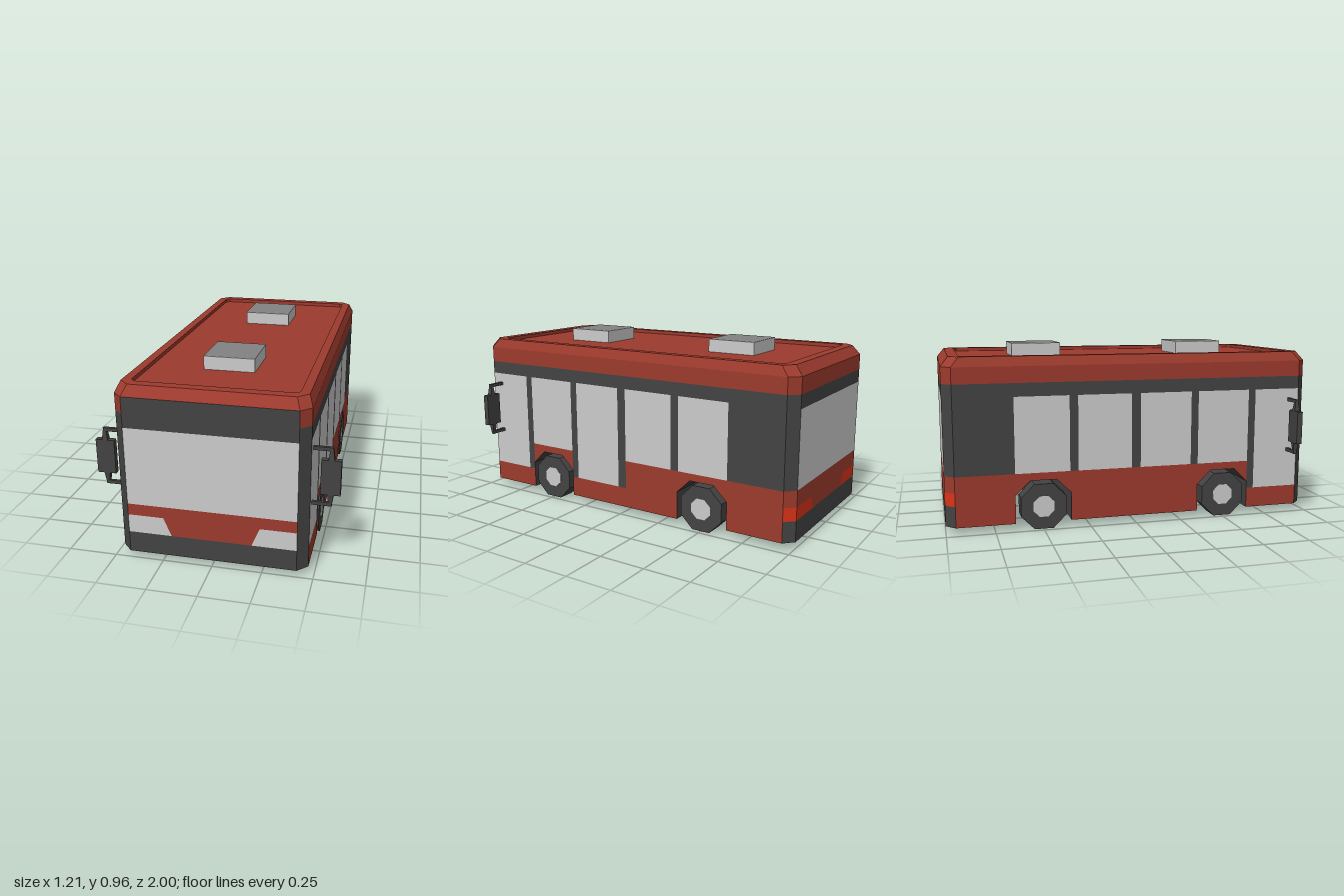
import * as THREE from 'three';

const mat = (color) => new THREE.MeshStandardMaterial({ color, flatShading: true, side: THREE.DoubleSide });
const GREY = mat(0xcccccc), RED = mat(0x9c3a2d), DARK = mat(0x434343), LAMP = mat(0xd93318), LID = mat(0x828282);

const HX = 0.47, HZ = 1, CUT = 0.05;            // half width, half length, corner chamfer
const FLOOR = 0.035, SILL = 0.145, BELT = 0.3, HEAD = 0.7, BAND = 0.77, EAVE = 0.855, TOP = 0.905;
const AXLES = [0.503, -0.497], ARCH = 0.147;

function add(parent, name, geometry, material) {
  const mesh = new THREE.Mesh(geometry, material);
  mesh.name = name;
  parent.add(mesh);
  return mesh;
}

// A flat wall lying in the xy plane of its group, filled with named polygons
function makeWall(name) {
  const wall = new THREE.Group();
  wall.name = name;
  const poly = (part, material, pts) =>
    add(wall, part, new THREE.ShapeGeometry(new THREE.Shape(pts.map(([x, y]) => new THREE.Vector2(x, y)))), material);
  const rect = (part, material, x0, x1, y0, y1) => poly(part, material, [[x0, y0], [x1, y0], [x1, y1], [x0, y1]]);
  return { wall, poly, rect };
}

// Wheel arch outline, from the front foot over the top to the rear foot
const archPoints = (z) => [
  [z + ARCH, FLOOR], [z + ARCH, 0.185], [z + 0.07, 0.26], [z - 0.07, 0.26], [z - ARCH, 0.185], [z - ARCH, FLOOR],
];

function makeSide(s) {
  const { wall, poly, rect } = makeWall(s > 0 ? 'leftWall' : 'rightWall');
  const zRect = (part, material, z0, z1, y0, y1) => rect(part, material, -s * z0, -s * z1, y0, y1);
  const end = HZ - CUT, [front, rear] = AXLES;
  const midDoor = s > 0;

  // Red lower panels and arch surrounds
  zRect('rearSkirt', RED, -end, rear - ARCH, FLOOR, BELT);
  zRect('frontSkirt', RED, front + ARCH, end, FLOOR, SILL);
  if (midDoor) {
    zRect('middleSkirt', RED, rear + ARCH, -0.02, FLOOR, BELT);
    zRect('doorSkirt', RED, -0.02, front - ARCH, FLOOR, SILL);
  } else zRect('middleSkirt', RED, rear + ARCH, front - ARCH, FLOOR, BELT);
  for (const z of AXLES) {
    const pts = [[z + ARCH, BELT], ...archPoints(z).slice(1, 5), [z - ARCH, BELT]];
    poly('archPanel', RED, pts.map(([a, y]) => [-s * a, y]));
  }

  // Windows and the pillars in front of each: [rear edge, front edge, next window, bottom]
  const low = midDoor ? SILL : BELT;
  const bays = [
    [-0.644, -0.355, -0.31, BELT, BELT],
    [-0.31, -0.02, 0.03, BELT, low],
    [0.03, 0.315, 0.356, low, low],
    [0.356, 0.65, 0.69, BELT, SILL],
    [0.69, end, end, SILL, SILL],
  ];
  bays[0][1] = -0.355;
  bays[1][0] = -0.31;
  for (const [a, b, c, y, pillarY] of bays) {
    zRect('window', GREY, a, b, y, HEAD);
    if (c > b) zRect('pillar', DARK, b, c, pillarY, HEAD);
  }
  zRect('rearQuarter', DARK, -end, -0.644, BELT, HEAD);
  zRect('windowHeader', DARK, -end, end, HEAD, BAND);
  zRect('roofSide', RED, -end, end, BAND, EAVE);
  wall.rotation.y = s * Math.PI / 2;
  wall.position.x = s * HX;
  return wall;
}

function makeEnd(s) {
  const { wall, poly, rect } = makeWall(s > 0 ? 'frontWall' : 'rearWall');
  const w = HX - CUT, lampTop = s > 0 ? 0.24 : 0.215;
  rect('bumper', DARK, -w, w, FLOOR, SILL);
  poly('grillePanel', RED, [[-0.2, SILL], [0.2, SILL], [0.24, lampTop], [-0.24, lampTop]]);
  rect('beltPanel', RED, -w, w, lampTop, BELT);
  for (const m of [-1, 1]) {
    poly(s > 0 ? 'headlight' : 'tailLight', s > 0 ? GREY : LAMP,
      [[m * w, SILL], [m * 0.2, SILL], [m * 0.24, lampTop], [m * w, lampTop]]);
  }
  rect(s > 0 ? 'windscreen' : 'rearWindow', GREY, -w, w, BELT, HEAD);
  rect('header', DARK, -w, w, HEAD, BAND);
  rect('roofEnd', s > 0 ? DARK : RED, -w, w, BAND, EAVE);
  wall.rotation.y = s > 0 ? 0 : Math.PI;
  wall.position.z = s * HZ;
  return wall;
}

// Chamfered corner posts, stacked in coloured bands
function makeCorner(sx, sz) {
  const { wall, rect } = makeWall('cornerPost');
  const h = CUT * Math.SQRT1_2;
  const bands = sz > 0
    ? [[DARK, FLOOR, BAND], [RED, BAND, EAVE]]
    : [[DARK, FLOOR, SILL], [LAMP, SILL, 0.215], [RED, 0.215, BELT], [DARK, BELT, BAND], [RED, BAND, EAVE]];
  for (const [m, y0, y1] of bands) rect('cornerBand', m, -h, h, y0, y1);
  wall.rotation.y = Math.atan2(sx, sz);
  wall.position.set(sx * (HX - CUT / 2), 0, sz * (HZ - CUT / 2));
  return wall;
}

// Roof lofted through chamfered rectangles: slope, rim, recess wall, recess floor
function roofGeometry() {
  const ring = (x, z, c, y) => [
    [x, z - c], [x, c - z], [x - c, -z], [c - x, -z], [-x, c - z], [-x, z - c], [c - x, z], [x - c, z],
  ].map(([a, b]) => [a, y, b]);
  const rings = [
    ring(HX, HZ, CUT, EAVE), ring(0.45, 0.96, CUT, TOP), ring(0.405, 0.907, 0.02, TOP),
    ring(0.405, 0.907, 0.02, TOP - 0.02), ring(0, 0, 0, TOP - 0.02),
  ];
  const pos = [];
  for (let r = 0; r < rings.length - 1; r++) {
    for (let i = 0; i < 8; i++) {
      const j = (i + 1) % 8, a = rings[r][i], b = rings[r][j], c = rings[r + 1][j], d = rings[r + 1][i];
      pos.push(...a, ...b, ...c);
      if (r < rings.length - 2) pos.push(...a, ...c, ...d);
    }
  }
  const g = new THREE.BufferGeometry();
  g.setAttribute('position', new THREE.Float32BufferAttribute(pos, 3));
  g.computeVertexNormals();
  return g;
}

// Full-width tunnel over each axle
function tunnelGeometry(z) {
  const pos = [], pts = archPoints(z);
  for (let i = 0; i < pts.length - 1; i++) {
    const [z0, y0] = pts[i], [z1, y1] = pts[i + 1];
    pos.push(-HX, y0, z0, HX, y0, z0, HX, y1, z1, -HX, y0, z0, HX, y1, z1, -HX, y1, z1);
  }
  const g = new THREE.BufferGeometry();
  g.setAttribute('position', new THREE.Float32BufferAttribute(pos, 3));
  g.computeVertexNormals();
  return g;
}

function makeWheel(s, z) {
  const wheel = new THREE.Group();
  wheel.name = 'wheel';
  const octagon = (r, w) => new THREE.CylinderGeometry(r, r, w, 8).rotateY(Math.PI / 8).rotateZ(Math.PI / 2);
  add(wheel, 'tyre', octagon(0.13, 0.1), DARK);
  add(wheel, 'hub', octagon(0.06, 0.01), GREY).position.x = s * 0.047;
  wheel.position.set(s * 0.424, 0.12, z);
  return wheel;
}

function makeMirror(s) {
  const mirror = new THREE.Group();
  mirror.name = 'wingMirror';
  add(mirror, 'mirrorHead', new THREE.BoxGeometry(0.095, 0.177, 0.03), DARK).position.set(s * 0.557, 0.497, 0);
  for (const m of [-1, 1]) {
    add(mirror, 'mirrorArm', new THREE.BoxGeometry(0.1, 0.018, 0.016), DARK).position.set(s * 0.515, 0.497 + m * 0.142, 0);
    const stem = add(mirror, 'mirrorStem', new THREE.CylinderGeometry(0.01, 0.021, 0.06, 4).rotateY(Math.PI / 4), DARK);
    stem.position.set(s * 0.557, 0.497 + m * 0.118, 0);
    if (m < 0) stem.rotation.x = Math.PI;
  }
  mirror.position.z = 0.893;
  return mirror;
}

export function createModel() {
  const bus = new THREE.Group();
  bus.name = 'bus';
  add(bus, 'roof', roofGeometry(), RED);
  for (const s of [-1, 1]) {
    bus.add(makeSide(s), makeEnd(s), makeMirror(s));
    for (const sz of [-1, 1]) bus.add(makeCorner(s, sz));
    for (const z of AXLES) bus.add(makeWheel(s, z));

    // Roof vent with darker lid
    add(bus, 'roofVent', new THREE.BoxGeometry(0.262, 0.07, 0.27), GREY).position.set(0, 0.919, s * 0.475);
    add(bus, 'ventLid', new THREE.PlaneGeometry(0.262, 0.27).rotateX(-Math.PI / 2), LID).position.set(0, 0.955, s * 0.475);
  }
  for (const z of AXLES) add(bus, 'wheelTunnel', tunnelGeometry(z), DARK);
  return bus;
}
